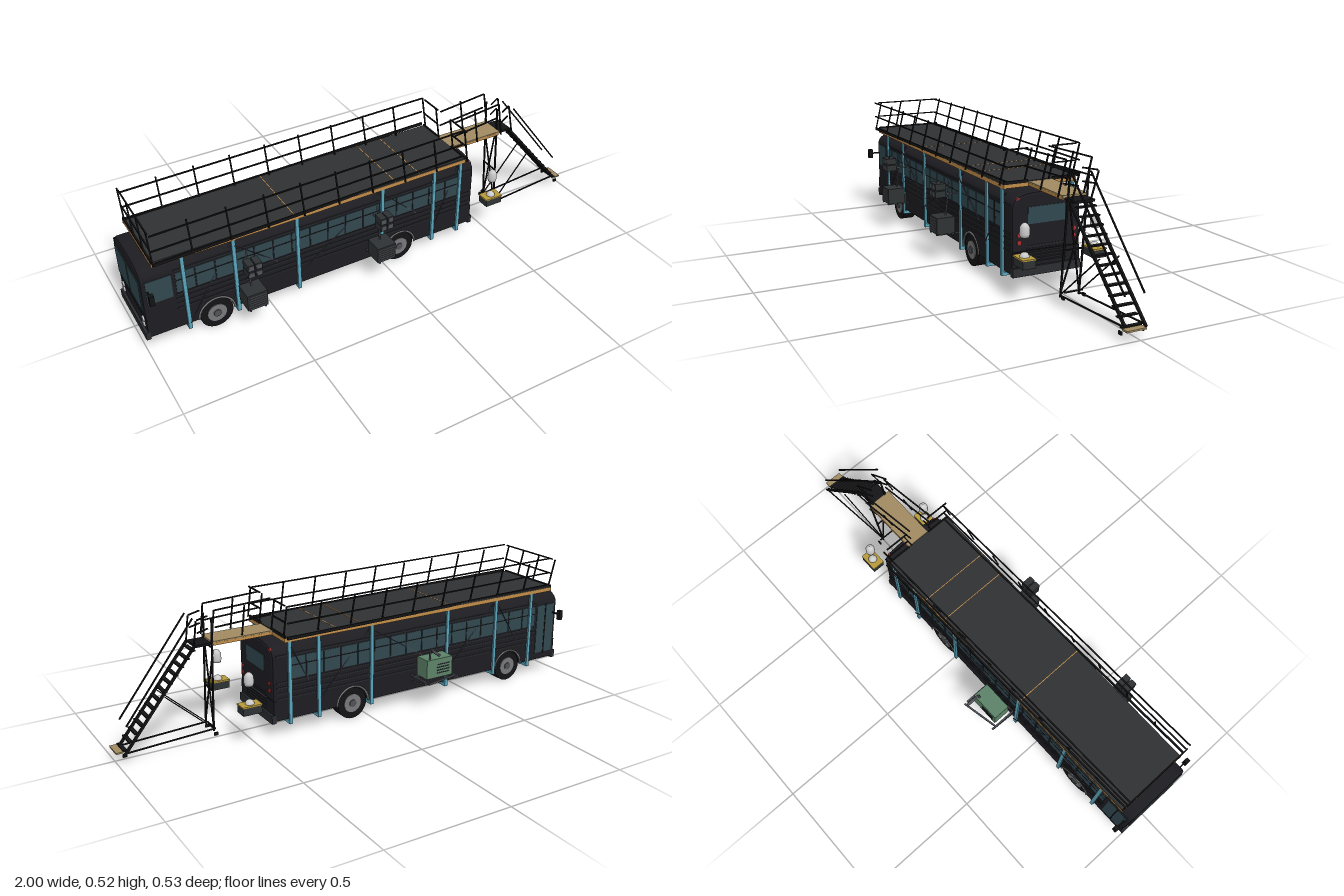
import * as THREE from 'three';

const mat = (color) => new THREE.MeshStandardMaterial({ color });
const M = {
  body: mat(0x1d1c21), trim: mat(0x2a2c30), black: mat(0x141416), glass: mat(0x30474f), blue: mat(0x5aa3ba),
  orange: mat(0xc08b48), tan: mat(0xa08a62), deck: mat(0x303133), green: mat(0x5c8268), red: mat(0xb02c2c),
  grey: mat(0x505258), rim: mat(0x77787a), pale: mat(0xc4c4c6), gold: mat(0xb89a3a), brace: mat(0x4c4a58), unit: mat(0x2e3234),
};

export function createModel() {
  const root = new THREE.Group();
  root.name = 'towerBus';
  root.position.z = 0.016;
  const add = (name, geo, m, x = 0, y = 0, z = 0) => {
    const mesh = new THREE.Mesh(geo, m);
    mesh.name = name;
    mesh.position.set(x, y, z);
    root.add(mesh);
    return mesh;
  };
  // box given by its min and max on each axis
  const box = (name, m, x0, x1, y0, y1, z0, z1) =>
    add(name, new THREE.BoxGeometry(Math.abs(x1 - x0), Math.abs(y1 - y0), Math.abs(z1 - z0)), m, (x0 + x1) / 2, (y0 + y1) / 2, (z0 + z1) / 2);
  // square bar between two points
  const bar = (name, m, a, b, t = 0.006) => {
    const p = new THREE.Vector3(...a), q = new THREE.Vector3(...b);
    const mesh = add(name, new THREE.BoxGeometry(t, t, p.distanceTo(q)), m);
    mesh.position.copy(p).add(q).multiplyScalar(0.5);
    mesh.lookAt(q);
    return mesh;
  };
  const disc = (name, m, r, h, x, y, z, axis) => {
    const g = new THREE.CylinderGeometry(r, r, h, 28);
    if (axis === 'z') g.rotateX(Math.PI / 2);
    if (axis === 'x') g.rotateZ(Math.PI / 2);
    return add(name, g, m, x, y, z);
  };
  const sides = [1, -1];
  const wheelX = [-0.725, 0.07];

  // upper body: arched roof section swept along x
  const section = new THREE.Shape();
  section.moveTo(-0.142, 0.145);
  section.lineTo(0.142, 0.145);
  section.lineTo(0.142, 0.315);
  section.bezierCurveTo(0.142, 0.352, 0.1, 0.368, 0.04, 0.368);
  section.lineTo(-0.04, 0.368);
  section.bezierCurveTo(-0.1, 0.368, -0.142, 0.352, -0.142, 0.315);
  const upper = new THREE.ExtrudeGeometry(section, { depth: 1.392, bevelThickness: 0.01, bevelSize: 0.01, bevelOffset: -0.01, bevelSegments: 2, curveSegments: 10 });
  add('upperBody', upper.rotateY(Math.PI / 2), M.body, -0.982);

  // lower body with wheel arches
  const skirt = new THREE.Shape();
  skirt.moveTo(-0.99, 0.145);
  skirt.lineTo(-0.99, 0.065);
  wheelX.forEach((x) => {
    skirt.lineTo(x - 0.073, 0.065);
    skirt.absarc(x, 0.065, 0.073, Math.PI, 0, true);
  });
  skirt.lineTo(0.418, 0.065);
  skirt.lineTo(0.418, 0.145);
  add('skirt', new THREE.ExtrudeGeometry(skirt, { depth: 0.284, bevelEnabled: false, curveSegments: 20 }), M.body, 0, 0, -0.142);
  box('floor', M.body, -0.98, 0.41, 0.07, 0.15, -0.07, 0.07);
  sides.forEach((s) => box('chassisRail', M.grey, -0.97, 0.4, 0.056, 0.072, s * 0.045, s * 0.06));

  // wheels, arches and axles
  wheelX.forEach((x) => {
    disc('axle', M.grey, 0.01, 0.2, x, 0.065, 0, 'z');
    sides.forEach((s) => {
      disc('tyre', M.black, 0.065, 0.054, x, 0.065, s * 0.111, 'z');
      disc('rim', M.rim, 0.038, 0.004, x, 0.065, s * 0.139, 'z');
      disc('hub', M.grey, 0.015, 0.008, x, 0.065, s * 0.141, 'z');
      add('wheelArch', new THREE.TorusGeometry(0.071, 0.004, 6, 24, Math.PI), M.rim, x, 0.065, s * 0.142);
    });
  });

  // side windows, body ribs and front corner panes
  sides.forEach((s) => {
    const z = s * 0.1425;
    for (let i = 0; i < 16; i++) {
      const x = -0.865 + i * 0.0765;
      box('sideWindow', M.glass, x, x + 0.07, 0.227, 0.314, z - 0.002, z + 0.002);
      box('windowBar', M.black, x, x + 0.07, 0.278, 0.282, z - 0.003, z + 0.003);
    }
    box('frontSidePane', M.glass, -0.975, -0.88, s > 0 ? 0.215 : 0.095, 0.314, z - 0.002, z + 0.002);
    if (s < 0) box('doorPost', M.black, -0.93, -0.925, 0.09, 0.316, z - 0.004, z + 0.004);
    [0.15, 0.172, 0.195, 0.215, 0.322].forEach((y) => box('bodyRib', M.trim, -0.87, 0.405, y, y + 0.005, z - 0.002, z + 0.002));
    // mirrors
    bar('mirrorArm', M.black, [-0.97, 0.272, s * 0.14], [-0.97, 0.272, s * 0.18], 0.006);
    box('mirror', M.black, -0.98, -0.962, 0.25, 0.291, s * 0.179, s * 0.197);
    // rear and front lamps
    [0.185, 0.213].forEach((y) => disc('tailLamp', M.red, 0.008, 0.008, 0.42, y, s * 0.115, 'x'));
    [0.11, 0.135].forEach((y) => disc('headLamp', M.pale, 0.011, 0.008, -0.992, y, s * 0.11, 'x'));
    disc('roofLamp', M.red, 0.008, 0.012, 0.413, 0.344, s * 0.116, 'x');
    box('windscreen', M.glass, -0.995, -0.988, 0.185, 0.315, s * 0.004, s * 0.13);
  });

  // rear and front end details
  box('rearWindow', M.glass, 0.416, 0.422, 0.25, 0.314, -0.076, 0.078);
  for (let i = 0; i < 6; i++) box('louvre', M.trim, 0.416, 0.423, 0.105 + i * 0.012, 0.109 + i * 0.012, -0.082, 0.084);
  box('rearBumper', M.trim, 0.41, 0.427, 0.056, 0.09, -0.142, 0.142);
  box('frontBumper', M.trim, -1, -0.982, 0.056, 0.09, -0.142, 0.142);

  // blue frames hugging the bus
  [-0.835, -0.64, -0.385, -0.015, 0.225, 0.35].forEach((x) => {
    box('frameSill', M.blue, x - 0.007, x + 0.007, 0.045, 0.058, -0.148, 0.148);
    sides.forEach((s) => box('framePost', M.blue, x - 0.007, x + 0.007, 0.045, 0.378, s * 0.143, s * 0.151));
  });
  const zig = [[-0.835, 0.08], [-0.64, 0.36], [-0.385, 0.13], [-0.015, 0.36], [0.225, 0.13], [0.35, 0.36]];
  sides.forEach((s) => zig.slice(1).forEach((p, i) => bar('diagonalBrace', M.brace, [...zig[i], s * 0.146], [...p, s * 0.146], 0.003)));

  // roof deck with joists
  box('deck', M.deck, -0.942, 0.368, 0.39, 0.398, -0.15, 0.15);
  for (let i = 0; i < 32; i++) {
    const x = -0.93 + i * 0.0415;
    box('joist', M.orange, x - 0.004, x + 0.004, 0.377, 0.39, -0.145, 0.145);
  }
  sides.forEach((s) => box('deckBeam', M.orange, -0.945, 0.37, 0.376, 0.392, s * 0.142, s * 0.151));
  [-0.944, 0.364].forEach((x) => box('endBeam', M.orange, x, x + 0.007, 0.378, 0.392, -0.151, 0.151));
  [-0.395, 0.04, 0.15].forEach((x) => box('deckSeam', M.orange, x - 0.0015, x + 0.0015, 0.39, 0.3985, -0.15, 0.15));
  box('walkway', M.tan, 0.37, 0.615, 0.386, 0.396, -0.05, 0.05);
  sides.forEach((s) => box('walkwayBeam', M.orange, 0.37, 0.61, 0.38, 0.391, s * 0.043, s * 0.0505));

  // guard rails
  const rail = (a, b, n, toe = true) => {
    [0.455, 0.519].forEach((y) => bar('guardRail', M.black, [a[0], y, a[1]], [b[0], y, b[1]], 0.005));
    if (toe) [0.394, 0.4].forEach((y) => bar('toeBoard', M.black, [a[0], y, a[1]], [b[0], y, b[1]], 0.006));
    for (let i = 0; i <= n; i++) {
      const x = a[0] + (b[0] - a[0]) * i / n, z = a[1] + (b[1] - a[1]) * i / n;
      bar('railPost', M.black, [x, 0.39, z], [x, 0.521, z], 0.005);
    }
  };
  rail([-0.941, -0.151], [-0.941, 0.151], 3);
  sides.forEach((s) => {
    rail([-0.941, s * 0.151], [0.367, s * 0.151], 9);
    rail([0.367, s * 0.151], [0.367, s * 0.051], 1);
    rail([0.367, s * 0.051], [0.61, s * 0.051], 2, false);
  });

  // stair tower
  sides.forEach((s) => {
    const z = s * 0.038;
    bar('towerLeg', M.black, [0.615, 0.03, z], [0.615, 0.488, z], 0.006);
    bar('landingPost', M.black, [0.675, 0.38, z], [0.675, 0.488, z], 0.005);
    [0.44, 0.488].forEach((y) => bar('landingRail', M.black, [0.615, y, z], [0.675, y, z], 0.005));
    bar('handRail', M.black, [0.675, 0.488, z], [0.96, 0.14, z], 0.005);
    bar('stringer', M.black, [0.67, 0.385, z], [0.975, 0.03, z], 0.009);
    bar('baseRail', M.black, [0.615, 0.038, z], [0.972, 0.038, z], 0.005);
    bar('sideBrace', M.black, [0.615, 0.04, z], [0.81, 0.222, z], 0.004);
    bar('backBrace', M.black, [0.615, 0.045, -z], [0.615, 0.37, z], 0.005);
    [0.615, 0.97].forEach((x) => box('foot', M.black, x - 0.008, x + 0.008, 0.02, 0.032, z + s * 0.002, z + s * 0.008));
  });
  [0.045, 0.2, 0.372].forEach((y) => bar('crossTie', M.black, [0.615, y, -0.038], [0.615, y, 0.038], 0.005));
  box('landing', M.black, 0.612, 0.678, 0.38, 0.389, -0.04, 0.04);
  for (let i = 0; i < 13; i++) {
    const t = (i + 0.6) / 13, x = 0.67 + 0.305 * t, y = 0.385 - 0.355 * t;
    box('tread', M.black, x - 0.008, x + 0.008, y - 0.002, y + 0.003, -0.038, 0.038);
  }
  box('bottomStep', M.tan, 0.972, 1, 0.034, 0.04, -0.038, 0.038);

  // lamps over gold-topped boxes
  const dome = [[0, 0], [0.016, 0], [0.019, 0.012], [0.018, 0.036], [0.013, 0.045], [0.006, 0.051], [0, 0.053]].map((p) => new THREE.Vector2(...p));
  sides.forEach((s) => {
    const z = s * 0.145;
    box('lampBox', M.unit, 0.481, 0.557, 0.13, 0.161, z - 0.026, z + 0.026);
    box('lampBoxTop', M.gold, 0.479, 0.559, 0.16, 0.165, z - 0.027, z + 0.027);
    add('lampBase', new THREE.SphereGeometry(0.018, 20, 10, 0, 7, 0, Math.PI / 2), M.pale, 0.519, 0.164, z);
    add('lantern', new THREE.LatheGeometry(dome, 24), M.pale, 0.519, 0.237, z);
  });

  // outboard units on poles, +z side
  [-0.604, -0.055].forEach((x) => {
    bar('unitPole', M.grey, [x, 0.11, 0.19], [x, 0.332, 0.19], 0.005);
    bar('unitArm', M.grey, [x, 0.272, 0.145], [x, 0.272, 0.205], 0.005);
    sides.forEach((s) => bar('unitShelf', M.grey, [x + s * 0.03, 0.114, 0.145], [x + s * 0.03, 0.114, 0.25], 0.005));
    box('outdoorUnit', M.unit, x - 0.04, x + 0.04, 0.117, 0.185, 0.172, 0.249);
    for (let i = 0; i < 6; i++) box('unitGrille', M.grey, x - 0.034, x + 0.034, 0.124 + i * 0.01, 0.128 + i * 0.01, 0.248, 0.251);
    sides.forEach((s) => [0.265, 0.295].forEach((y) => {
      box('floodLight', M.unit, x + s * 0.002, x + s * 0.028, y, y + 0.026, 0.204, 0.249);
      box('floodLens', M.grey, x + s * 0.005, x + s * 0.025, y + 0.003, y + 0.023, 0.248, 0.251);
    }));
  });

  // generator on its bracket, -z side
  box('generator', M.green, -0.35, -0.225, 0.133, 0.213, -0.231, -0.161);
  for (let i = 0; i < 4; i++) box('generatorVent', M.trim, -0.335, -0.275, 0.15 + i * 0.012, 0.154 + i * 0.012, -0.233, -0.23);
  [-0.362, -0.21].forEach((x) => {
    bar('bracketArm', M.grey, [x, 0.129, -0.145], [x, 0.129, -0.255], 0.007);
    bar('bracketStrut', M.grey, [x, 0.096, -0.148], [x, 0.126, -0.252], 0.006);
  });
  [-0.252, -0.155].forEach((z) => bar('bracketRail', M.grey, [-0.365, 0.129, z], [-0.207, 0.129, z], 0.007));
  const pipe = [[-0.245, 0.145, -0.222], [-0.245, 0.24, -0.222], [-0.245, 0.257, -0.23], [-0.245, 0.254, -0.255], [-0.245, 0.25, -0.282]];
  add('exhaust', new THREE.TubeGeometry(new THREE.CatmullRomCurve3(pipe.map((p) => new THREE.Vector3(...p))), 24, 0.004, 10), M.grey);
  const muffler = disc('muffler', M.grey, 0.006, 0.035, -0.245, 0.252, -0.265, 'z');
  muffler.rotation.x = -0.12;

  return root;
}
